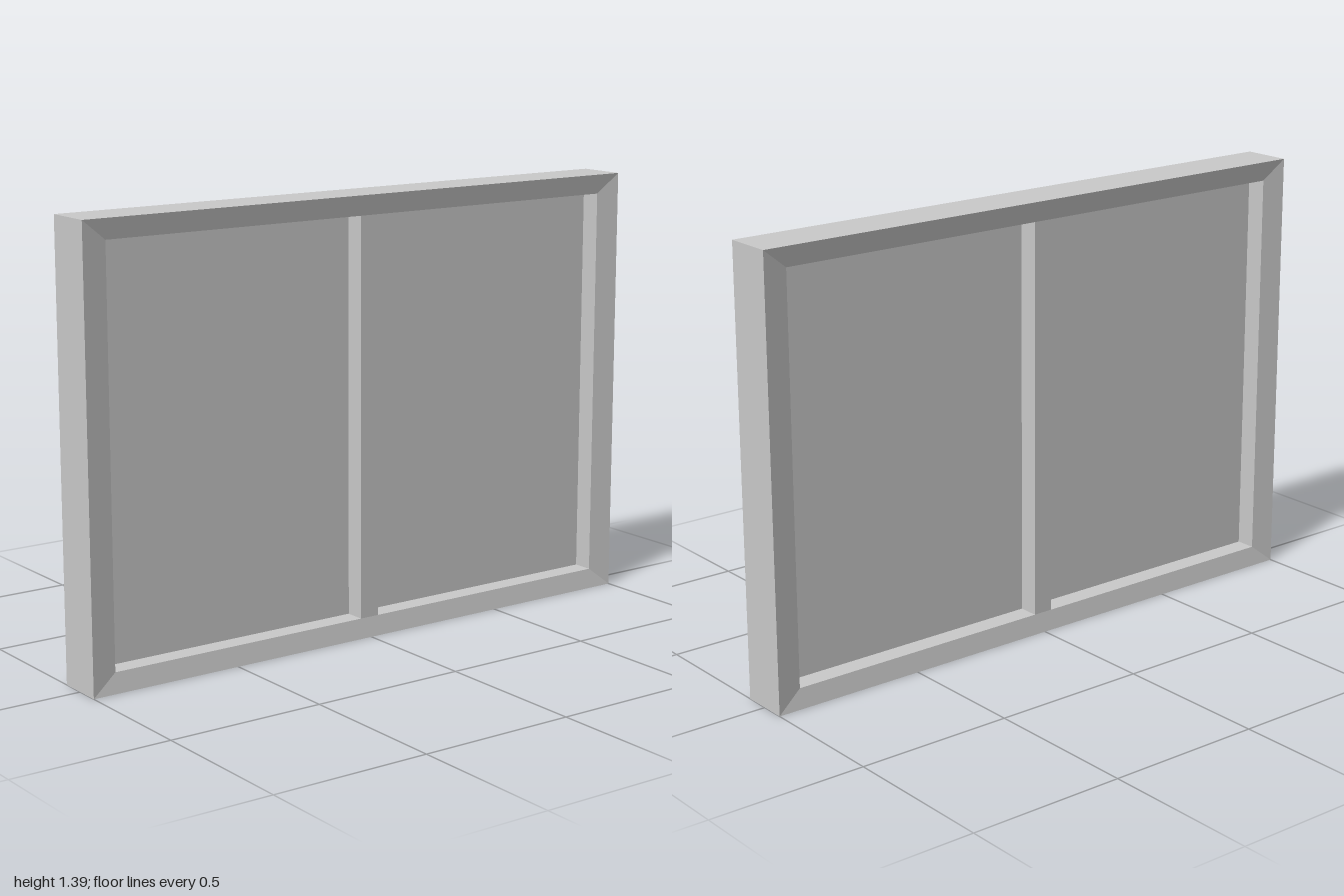
import * as THREE from 'three';

const W = 1, H = 0.696;          // outer half width and half height
const IW = 0.92, IH = 0.633;     // opening half width and half height
const D = 0.079, ID = 0.068;     // half depth at the outer and inner edges
const POST = 0.033;              // half width of the centre post

// Sweeps the frame's cross-section round four mitred corners.
function frameGeometry() {
  const section = [[W, H, D], [IW, IH, ID], [IW, IH, -ID], [W, H, -D]];
  const corners = [[1, 1], [-1, 1], [-1, -1], [1, -1]];
  const point = (c, s) => {
    const [sx, sy] = corners[c % 4], [x, y, z] = section[s % 4];
    return [sx * x, sy * y, z];
  };
  const positions = [];
  for (let c = 0; c < 4; c++) {
    for (let s = 0; s < 4; s++) {
      const a = point(c, s), b = point(c + 1, s);
      const d = point(c, s + 1), e = point(c + 1, s + 1);
      positions.push(...a, ...b, ...e, ...a, ...e, ...d);
    }
  }
  const geometry = new THREE.BufferGeometry();
  geometry.setAttribute('position', new THREE.Float32BufferAttribute(positions, 3));
  geometry.computeVertexNormals();
  return geometry;
}

export function createModel() {
  const group = new THREE.Group();
  group.name = 'window';
  const material = new THREE.MeshStandardMaterial({ color: 0xcccccc });
  const add = (name, geometry, x = 0) => {
    const mesh = new THREE.Mesh(geometry, material);
    mesh.name = name;
    mesh.position.set(x, H, 0);
    group.add(mesh);
  };

  // Outer frame, its faces sloping gently in towards the openings
  add('frame', frameGeometry());

  // Upright between the two openings
  add('centrePost', new THREE.BoxGeometry(2 * POST, 2 * IH, 2 * ID));

  // Thin panes set in the middle of the depth
  for (const side of [-1, 1]) {
    const pane = new THREE.BoxGeometry(IW - POST, 2 * IH, 0.006);
    add(side > 0 ? 'leftPane' : 'rightPane', pane, side * (IW + POST) / 2);
  }
  return group;
}
